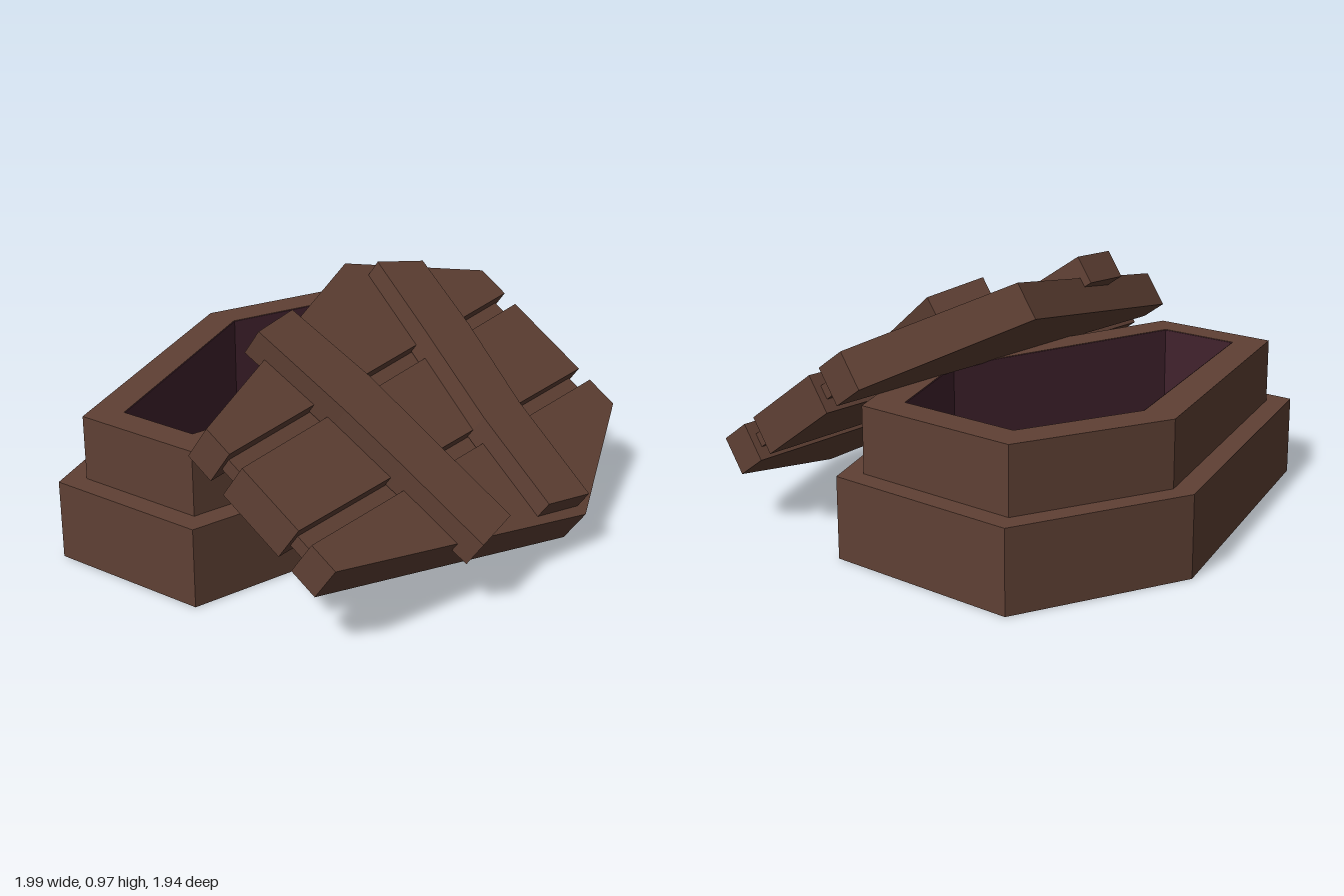
import * as THREE from 'three';

const wood = new THREE.MeshStandardMaterial({ color: 0x5f4034 });
wood.name = 'brown wood';
const cloth = new THREE.MeshStandardMaterial({ color: 0x41222d });
cloth.name = 'purple lining';

// Six-sided casket outline as [x, z] points
function casketOutline(cx, zBack, wBack, zMid, wMid, zFront, wFront) {
  return [
    [cx - wBack, zBack], [cx - wMid, zMid], [cx - wFront, zFront],
    [cx + wFront, zFront], [cx + wMid, zMid], [cx + wBack, zBack],
  ];
}

// Upright prism over an [x, z] outline, with an optional hole
function prism(name, outline, y0, y1, material, hole) {
  const toVec = ([x, z]) => new THREE.Vector2(x, -z);
  const shape = new THREE.Shape(outline.map(toVec));
  if (hole) shape.holes.push(new THREE.Path(hole.map(toVec)));
  const geo = new THREE.ExtrudeGeometry(shape, { depth: y1 - y0, bevelEnabled: false });
  geo.rotateX(-Math.PI / 2);
  geo.translate(0, y0, 0);
  const mesh = new THREE.Mesh(geo, material);
  mesh.name = name;
  return mesh;
}

function createBase() {
  const base = new THREE.Group();
  base.name = 'base';
  const cx = -0.3;
  const lower = casketOutline(cx, -0.97, 0.405, -0.29, 0.7, 0.95, 0.335);
  const upper = casketOutline(cx, -0.885, 0.35, -0.29, 0.61, 0.865, 0.27);
  const cavity = casketOutline(cx, -0.755, 0.26, -0.275, 0.465, 0.745, 0.17);
  const inner = casketOutline(cx, -0.751, 0.257, -0.275, 0.461, 0.741, 0.167);
  base.add(
    prism('bottom', lower, 0, 0.144, wood),
    prism('lowerTier', lower, 0.144, 0.32, wood, cavity),
    prism('upperTier', upper, 0.32, 0.58, wood, cavity),
    prism('liningWalls', cavity, 0.144, 0.578, cloth, inner),
    prism('liningFloor', cavity, 0.144, 0.15, cloth),
  );
  return base;
}

// Lid space: x runs down the slope from the raised edge, y = 0 is the top face
function createLid() {
  const lid = new THREE.Group();
  lid.name = 'lid';
  const c = 0.7, zB = -0.955, zM = -0.27, zF = 0.97, thick = 0.155, gap = 0.033;
  const seam = (z) => 0.23 - 0.05 * (z - zB) / (zF - zB);

  // Three planks with tapering gaps
  const mid = seam(zB) - gap, midF = seam(zF) - gap;
  lid.add(prism('middlePlank',
    [[c - mid, zB], [c - midF, zF], [c + midF, zF], [c + mid, zB]], -thick, 0, wood));
  for (const s of [-1, 1]) {
    const side = [
      [c + s * (seam(zB) + gap), zB], [c + s * (seam(zF) + gap), zF],
      [c + s * 0.335, zF], [c + s * 0.7, zM], [c + s * 0.405, zB],
    ];
    lid.add(prism('sidePlank', side, -thick, 0, wood));

    // Recessed strip filling each gap
    const a = zB + 0.03, b = zF - 0.03;
    const strip = [
      [c + s * seam(a) - gap, a], [c + s * seam(b) - gap, b],
      [c + s * seam(b) + gap, b], [c + s * seam(a) + gap, a],
    ];
    lid.add(prism('gapStrip', strip, -0.105, -0.05, wood));
  }

  // Two warped boards nailed across
  const backBoard = [
    [0.17, -0.565], [0.51, -0.485], [0.9, -0.36], [1.355, -0.27],
    [1.295, -0.04], [0.875, -0.12], [0.44, -0.24], [0.09, -0.33],
  ];
  const frontBoard = [
    [0.126, 0.28], [0.51, 0.215], [0.9, 0.195], [1.243, 0.175],
    [1.272, 0.405], [0.875, 0.43], [0.58, 0.455], [0.15, 0.51],
  ];
  lid.add(prism('backCrossBoard', backBoard, -0.04, 0.08, wood));
  lid.add(prism('frontCrossBoard', frontBoard, -0.04, 0.08, wood));

  lid.position.set(-0.165, 0.96, 0);
  lid.rotation.z = THREE.MathUtils.degToRad(-34.8);
  return lid;
}

export function createModel() {
  const model = new THREE.Group();
  model.name = 'openCasket';
  model.add(createBase(), createLid());
  return model;
}
